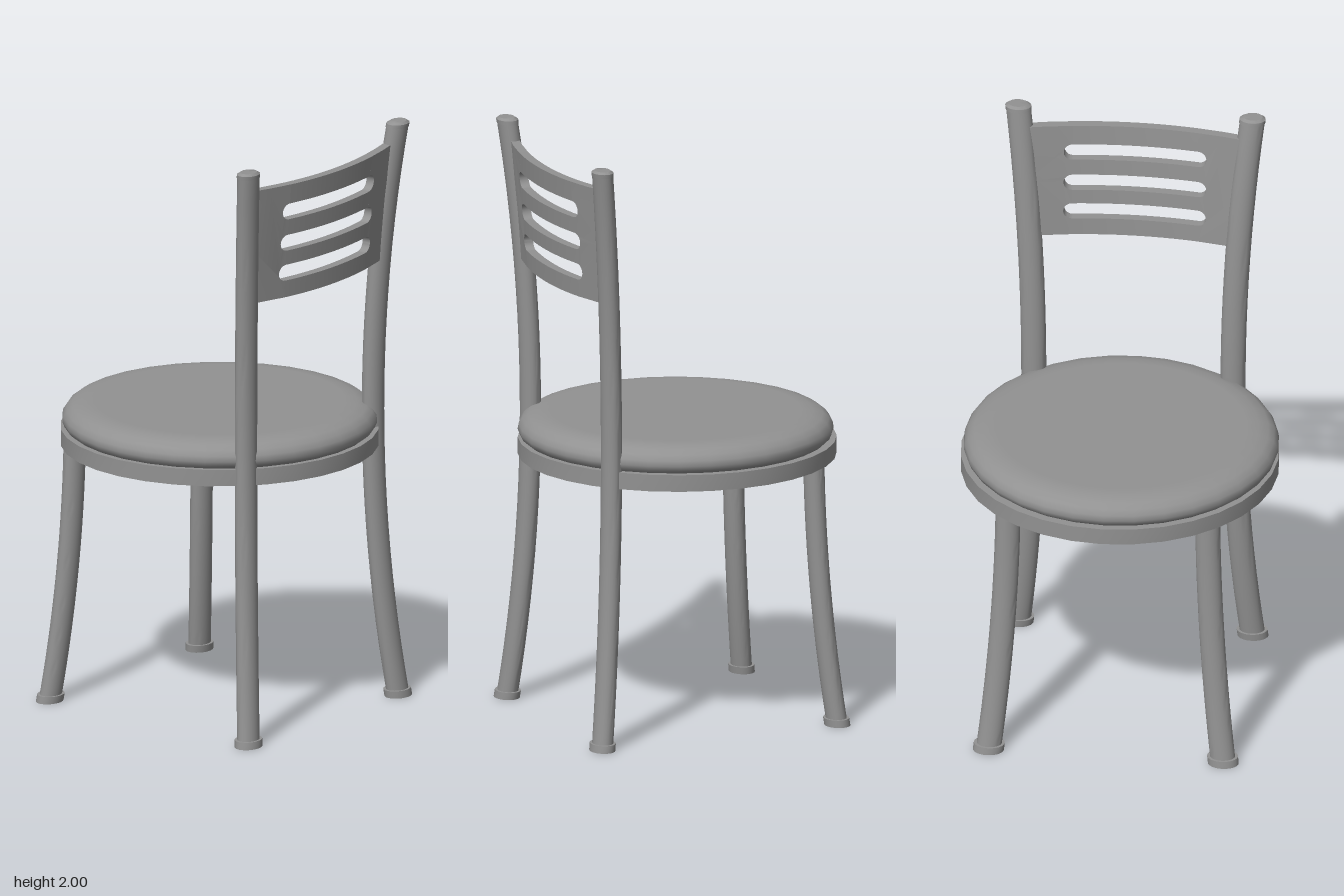
import * as THREE from 'three';
import { toCreasedNormals } from 'three/addons/utils/BufferGeometryUtils.js';

const material = new THREE.MeshStandardMaterial({ color: 0x929292 });

// Legs and posts splay outwards away from seat height
const splay = (y) => 0.06 * (y - 1) ** 2;

function addMesh(parent, name, geometry) {
  const mesh = new THREE.Mesh(geometry, material);
  mesh.name = name;
  parent.add(mesh);
  return mesh;
}

// Move every vertex by a rule
function warp(geometry, rule) {
  const p = geometry.attributes.position;
  const v = new THREE.Vector3();
  for (let i = 0; i < p.count; i++) {
    rule(v.fromBufferAttribute(p, i));
    p.setXYZ(i, v.x, v.y, v.z);
  }
  return geometry;
}

// Curved oval tube with a wider foot, and an end cap on full-height posts
function makeLeg(name, side, zSide, zSeat, height, capped) {
  const leg = new THREE.Group();
  leg.name = name;
  const oval = (rTop, rBottom, y0, y1, rows) => {
    const g = new THREE.CylinderGeometry(rTop, rBottom, y1 - y0, 24, rows);
    warp(g.translate(0, (y0 + y1) / 2, 0), (v) => {
      v.x = v.x * 1.24 + side * (0.335 + splay(v.y));
      v.z += zSide * (zSeat + splay(v.y));
    });
    return toCreasedNormals(g, 0.6);
  };
  addMesh(leg, 'tube', oval(0.034, 0.034, 0.01, height, 24));
  addMesh(leg, 'foot', oval(0.042, 0.042, 0, 0.025, 1));
  if (capped) {
    addMesh(leg, 'capRim', oval(0.0355, 0.0355, 1.98, 1.993, 1));
    addMesh(leg, 'capTop', oval(0.026, 0.034, 1.993, 2, 1));
  }
  return leg;
}

// Backrest panel: bowed backwards and leaning with the posts
const slots = [1.612, 1.718, 1.829];
const slotRadius = 0.028;
const bottom = 1.525, top = 1.925;
const bowPanel = (v) => {
  const bow = 0.051 * (1 - (v.x / 0.36) ** 2);
  v.z += 0.388 + 0.9 * splay(v.y) + bow;
  v.y -= bow * 0.1;
};

function makeBackrest() {
  const back = new THREE.Group();
  back.name = 'backrest';
  const inner = 0.212, depth = 0.032;

  // Horizontal slats between the slots
  const edges = [bottom, ...slots.flatMap((y) => [y - slotRadius, y + slotRadius]), top];
  for (let i = 0; i < edges.length; i += 2) {
    const g = new THREE.BoxGeometry(inner * 2, edges[i + 1] - edges[i], depth, 20, 2, 1);
    warp(g.translate(0, (edges[i] + edges[i + 1]) / 2, 0), bowPanel);
    addMesh(back, 'slat', toCreasedNormals(g, 0.6));
  }

  // End plates with the rounded slot ends notched into them
  for (const side of [1, -1]) {
    const s = new THREE.Shape();
    s.moveTo(side * inner, top);
    for (const y of [...slots].reverse()) {
      s.lineTo(side * inner, y + slotRadius);
      for (let k = 1; k <= 10; k++) {
        const a = Math.PI / 2 - (k / 10) * Math.PI;
        s.lineTo(side * (inner + slotRadius * Math.cos(a)), y + slotRadius * Math.sin(a));
      }
    }
    s.lineTo(side * inner, bottom);
    for (let k = 0; k <= 6; k++) {
      const y = bottom + (top - bottom) * k / 6;
      s.lineTo(side * (0.335 + splay(y)), y);
    }
    s.lineTo(side * 0.3, top);
    const g = new THREE.ExtrudeGeometry(s, { depth, bevelEnabled: false, steps: 1 });
    warp(g.translate(0, 0, -depth / 2), bowPanel);
    addMesh(back, 'endPlate', toCreasedNormals(g, 0.6));
  }
  return back;
}

export function createModel() {
  const chair = new THREE.Group();
  chair.name = 'chair';

  // Seat board
  const board = new THREE.CylinderGeometry(0.533, 0.533, 0.057, 32).translate(0, 0.9165, 0);
  addMesh(chair, 'seatBoard', toCreasedNormals(board, 0.6));

  // Padded cushion with a rolled edge
  const profile = [
    [0, 0.944], [0.508, 0.944], [0.521, 0.955], [0.528, 0.972], [0.525, 0.99], [0.513, 1.008],
    [0.493, 1.022], [0.46, 1.031], [0.42, 1.035], [0, 1.035],
  ].map(([r, y]) => new THREE.Vector2(r, y));
  const cushion = new THREE.LatheGeometry(profile, 32);
  addMesh(chair, 'cushion', cushion).position.set(-0.004, 0, 0.004);

  // Short legs on one edge, full-height posts carrying the backrest on the other
  for (const side of [1, -1]) {
    const label = side > 0 ? 'left' : 'right';
    chair.add(makeLeg(label + 'ShortLeg', side, -1, 0.35, 0.9, false));
    chair.add(makeLeg(label + 'BackPost', side, 1, 0.388, 1.985, true));
  }
  chair.add(makeBackrest());
  return chair;
}
